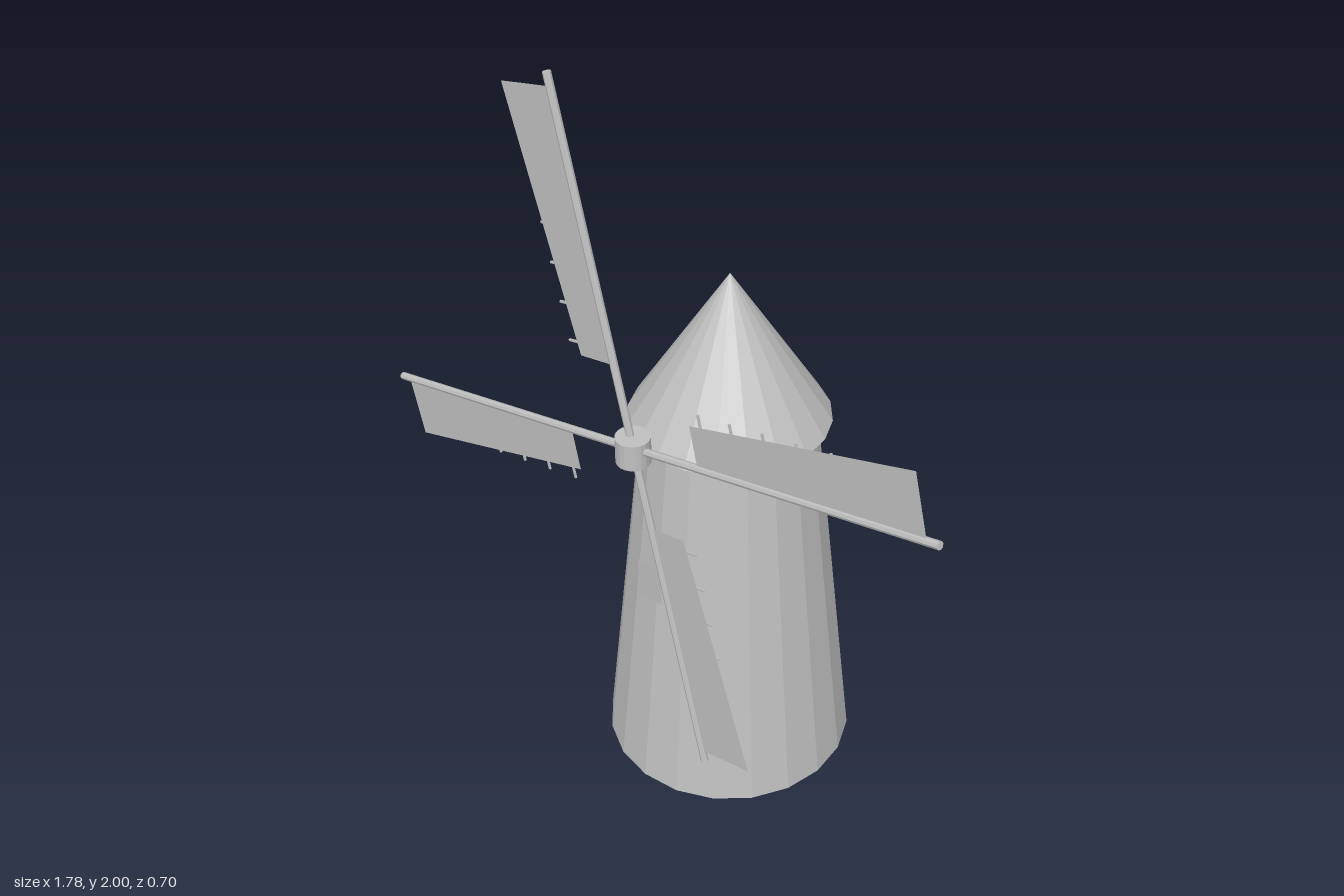
import * as THREE from 'three';

const grey = new THREE.MeshStandardMaterial({ color: 0xc0c0c0, flatShading: true, side: THREE.DoubleSide });
grey.name = 'plain grey';

function part(name, geometry, x = 0, y = 0, z = 0) {
  const mesh = new THREE.Mesh(geometry, grey);
  mesh.name = name;
  mesh.position.set(x, y, z);
  return mesh;
}

// One arm pointing up from the hub, with its cloth on the -x side
function createArm() {
  const arm = new THREE.Group();
  arm.name = 'sailArm';
  const length = 0.917;
  arm.add(part('stock', new THREE.CylinderGeometry(0.01, 0.01, length, 8), 0, length / 2, 0));

  // Tapered cloth, wider at the tip
  const cloth = new THREE.Shape([
    new THREE.Vector2(-0.005, 0.219),
    new THREE.Vector2(-0.005, 0.884),
    new THREE.Vector2(-0.165, 0.884),
    new THREE.Vector2(-0.112, 0.222),
  ]);
  arm.add(part('sailCloth', new THREE.ShapeGeometry(cloth), 0, 0, 0.002));

  // Cross bars of equal length
  for (let i = 0; i < 7; i++) {
    arm.add(part('crossBar', new THREE.BoxGeometry(0.146, 0.005, 0.005), -0.073, 0.255 + i * 0.099, -0.001));
  }
  return arm;
}

export function createModel() {
  const mill = new THREE.Group();
  mill.name = 'windmill';

  // Tower and roof
  const z = -0.02;
  const wallHeight = 1.037, roofHeight = 0.406;
  mill.add(part('tower', new THREE.CylinderGeometry(0.22, 0.33, wallHeight, 20), 0, wallHeight / 2, z));
  mill.add(part('roof', new THREE.ConeGeometry(0.255, roofHeight, 20), 0, wallHeight + roofHeight / 2, z));

  // Window standing just in front of the wall
  mill.add(part('window', new THREE.PlaneGeometry(0.08, 0.107), 0, 0.666, 0.27));

  // Hub and four arms
  const rotor = new THREE.Group();
  rotor.name = 'rotor';
  rotor.position.set(0, 1.11, 0.31);
  rotor.add(part('hub', new THREE.CylinderGeometry(0.043, 0.043, 0.07, 20)));
  for (let i = 0; i < 4; i++) {
    const arm = createArm();
    arm.rotation.z = THREE.MathUtils.degToRad(14.2) + i * Math.PI / 2;
    rotor.add(arm);
  }
  mill.add(rotor);
  return mill;
}
